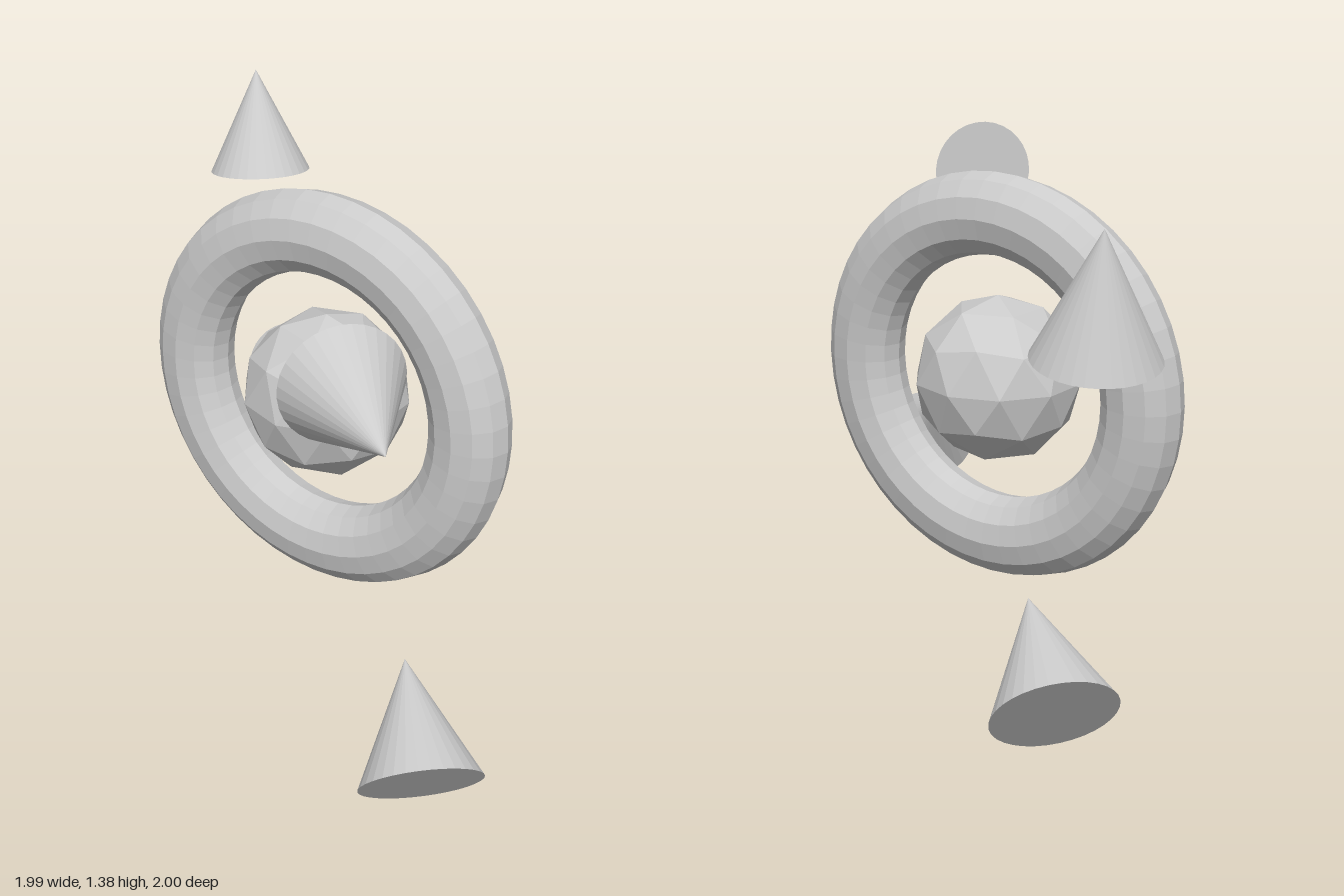
import * as THREE from 'three';

const material = new THREE.MeshStandardMaterial({ color: 0xcccccc, flatShading: true });

function addMesh(group, name, geometry) {
  const mesh = new THREE.Mesh(geometry, material);
  mesh.name = name;
  group.add(mesh);
  return mesh;
}

// Cone defined by its base centre and its tip
function addCone(group, name, base, tip) {
  const from = new THREE.Vector3(...base);
  const axis = new THREE.Vector3(...tip).sub(from);
  const height = axis.length();
  const geometry = new THREE.ConeGeometry(0.173, height, 32).translate(0, height / 2, 0);
  const cone = addMesh(group, name, geometry);
  cone.position.copy(from);
  cone.quaternion.setFromUnitVectors(new THREE.Vector3(0, 1, 0), axis.normalize());
}

export function createModel() {
  const group = new THREE.Group();
  group.name = 'ringedBallWithCones';
  const centre = [-0.04, 0.705, 0.047];

  // Faceted ball with a five-sided vertex at each pole
  const ballGeometry = new THREE.IcosahedronGeometry(0.266, 1);
  ballGeometry.rotateX(-Math.atan((1 + Math.sqrt(5)) / 2)).rotateY(Math.PI / 2);
  addMesh(group, 'ball', ballGeometry).position.set(...centre);

  // Slightly flattened ring, leaning back a little
  const ringGeometry = new THREE.TorusGeometry(0.523, 0.13, 12, 48).scale(1, 1, 0.84);
  const ring = addMesh(group, 'ring', ringGeometry);
  ring.position.set(...centre);
  ring.rotation.x = -0.033;

  // Four loose cones around the ring
  addCone(group, 'upperBackCone', [-0.82, 1.04, -0.64], [-0.865, 1.385, -0.685]);
  addCone(group, 'upperFrontCone', [0.515, 1.215, 0.747], [0.79, 1.2, 0.958]);
  addCone(group, 'lowerBackCone', [-0.849, 0.148, -0.857], [-0.64, 0.355, -0.67]);
  addCone(group, 'lowerFrontCone', [0.85, 0.148, 0.857], [0.66, 0.355, 0.655]);

  return group;
}
